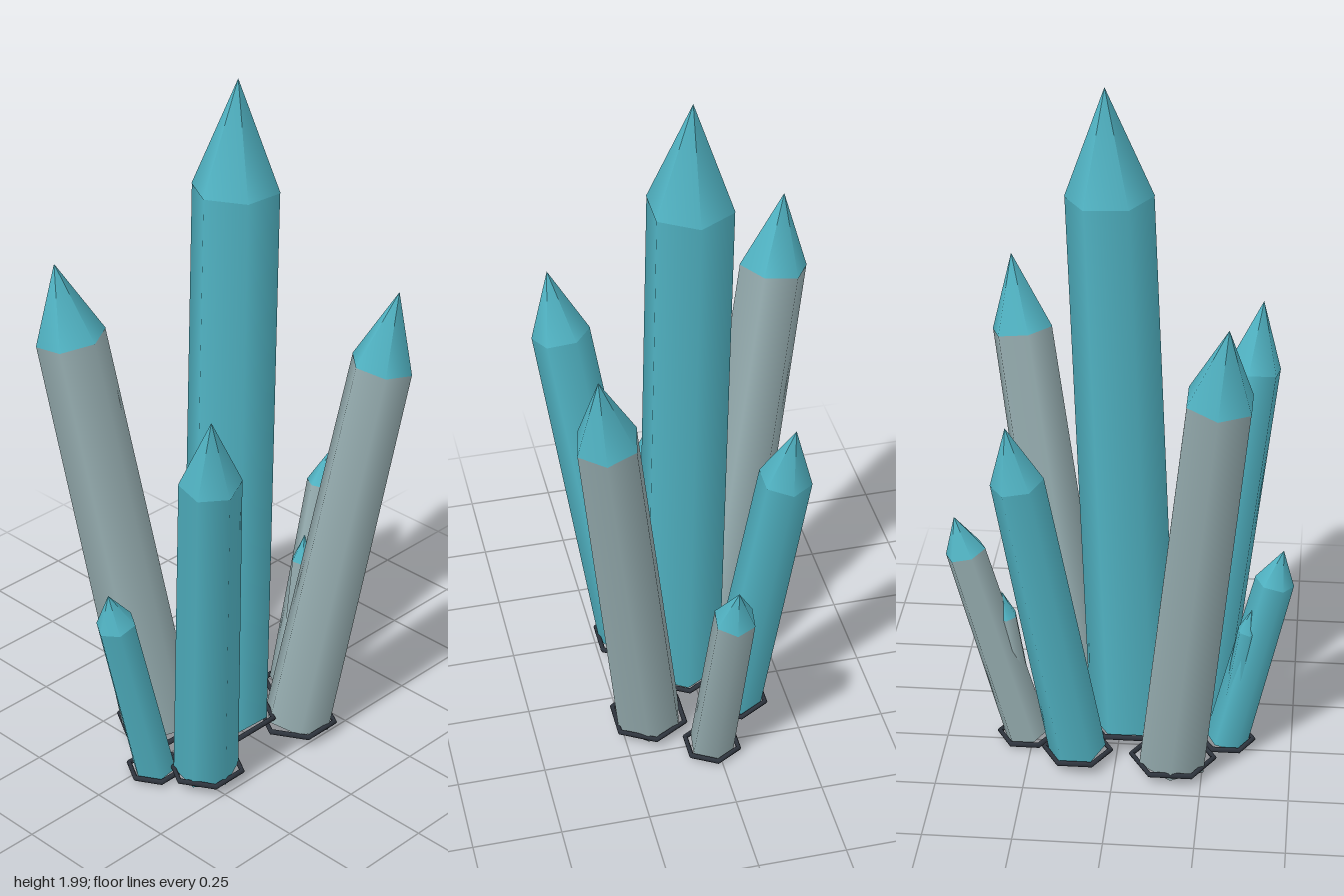
import * as THREE from 'three';

const teal = new THREE.MeshStandardMaterial({ color: 0x50b2c2 });
teal.name = 'teal crystal';
const grey = new THREE.MeshStandardMaterial({ color: 0x96adb0 });
grey.name = 'pale grey crystal';
const dark = new THREE.MeshStandardMaterial({ color: 0x2e343d });
dark.name = 'dark metal';

const UP = new THREE.Vector3(0, 1, 0);

// Hexagonal shaft with a pointed tip, leaning from base to apex; optional flat hexagonal collar
function crystal({ name, base, apex, shoulder, rBase, rTop, ring, yaw, body }) {
  const group = new THREE.Group();
  group.name = name;
  const from = new THREE.Vector3(...base);
  const axis = new THREE.Vector3(...apex).sub(from);
  const length = axis.length();
  const shaftLength = length * (shoulder - base[1]) / axis.y;
  const tipLength = length - shaftLength;

  const leaning = new THREE.Group();
  leaning.name = name + 'Stone';
  leaning.position.copy(from);
  leaning.quaternion.setFromUnitVectors(UP, axis.normalize());

  const shaft = new THREE.Mesh(new THREE.CylinderGeometry(rTop, rBase, shaftLength, 6), body);
  shaft.name = 'shaft';
  shaft.position.y = shaftLength / 2;

  const tip = new THREE.Mesh(new THREE.ConeGeometry(rTop * 1.01, tipLength, 6), teal);
  tip.name = 'tip';
  tip.position.y = shaftLength + tipLength / 2;

  shaft.rotation.y = tip.rotation.y = THREE.MathUtils.degToRad(yaw);
  leaning.add(shaft, tip);
  group.add(leaning);

  if (ring) {
    const collar = new THREE.Mesh(new THREE.TorusGeometry(ring, 0.008, 6, 6), dark);
    collar.name = 'collar';
    collar.rotation.x = Math.PI / 2;
    collar.position.copy(from);
    group.add(collar);
  }
  return group;
}

export function createModel() {
  const model = new THREE.Group();
  model.name = 'crystalCluster';
  const parts = [
    { name: 'centreCrystal', base: [-0.04, 0.085, 0.04], apex: [0.037, 2, 0.013], shoulder: 1.7,
      rBase: 0.126, rTop: 0.119, ring: 0.145, yaw: 30, body: teal },
    { name: 'backRightCrystal', base: [-0.165, 0.045, -0.105], apex: [-0.312, 1.48, -0.327], shoulder: 1.265,
      rBase: 0.106, rTop: 0.097, ring: 0.118, yaw: 0, body: grey },
    { name: 'frontRightCrystal', base: [-0.225, 0.045, 0.15], apex: [-0.38, 1.28, 0.33], shoulder: 1.085,
      rBase: 0.092, rTop: 0.083, ring: 0.105, yaw: -8, body: teal },
    { name: 'frontLeftCrystal', base: [0.13, 0.045, 0.17], apex: [0.33, 1.4, 0.33], shoulder: 1.185,
      rBase: 0.1, rTop: 0.089, ring: 0.11, yaw: 18, body: grey },
    { name: 'backLeftCrystal', base: [0.11, 0.045, -0.09], apex: [0.285, 1.12, -0.208], shoulder: 0.95,
      rBase: 0.082, rTop: 0.074, ring: 0.095, yaw: 33, body: teal },
    { name: 'smallLeftCrystal', base: [0.267, 0.025, 0.014], apex: [0.46, 0.74, -0.012], shoulder: 0.63,
      rBase: 0.066, rTop: 0.059, ring: 0.08, yaw: 25, body: grey },
    { name: 'smallRightCrystal', base: [-0.313, 0.025, 0.033], apex: [-0.462, 0.66, 0.018], shoulder: 0.56,
      rBase: 0.062, rTop: 0.056, ring: 0.076, yaw: 28, body: teal },
    // Slim shards growing out of the two small crystals
    { name: 'leftShard', base: [0.265, 0.025, 0.014], apex: [0.332, 0.5, 0], shoulder: 0.42,
      rBase: 0.038, rTop: 0.032, yaw: 10, body: grey },
    { name: 'rightShard', base: [-0.313, 0.025, 0.025], apex: [-0.378, 0.48, -0.008], shoulder: 0.41,
      rBase: 0.036, rTop: 0.03, yaw: 10, body: teal },
  ];
  for (const part of parts) model.add(crystal(part));
  return model;
}
